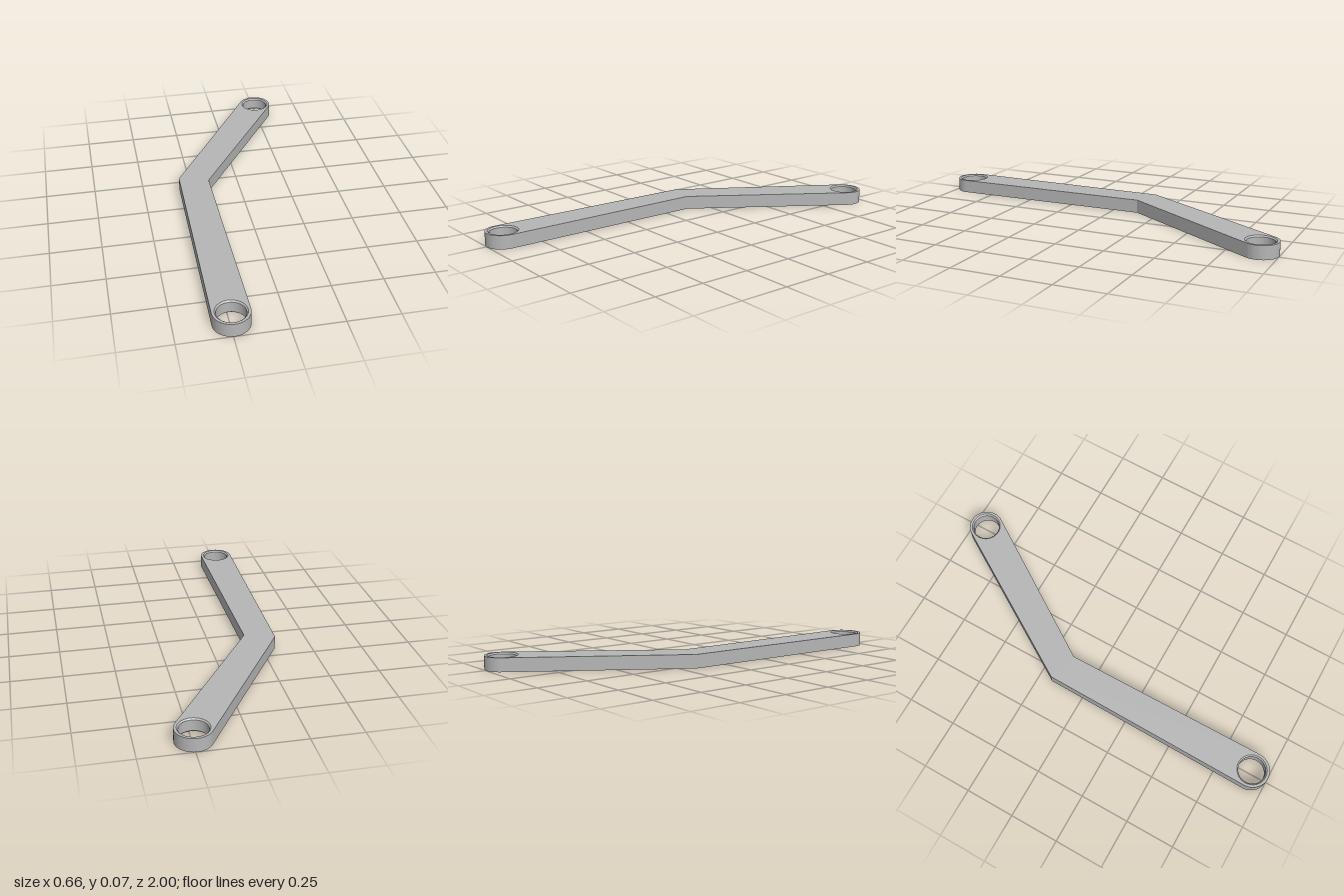
import * as THREE from 'three';
import { toCreasedNormals } from 'three/addons/utils/BufferGeometryUtils.js';

const HEIGHT = 0.068;
const END_R = 0.087;    // rounded arm ends
const RIM_R = 0.074;    // hole radius at the faces
const BORE_R = 0.067;   // hole radius inside the chamfer
const CHAMFER = 0.007;

export function createModel() {
  const group = new THREE.Group();
  group.name = 'bentLinkArm';
  const grey = new THREE.MeshStandardMaterial({ color: 0xb6b6b6 });
  grey.name = 'grey metal';

  // Hole centres in plan (shape y is -z)
  const front = new THREE.Vector2(-0.243, -0.913);
  const back = new THREE.Vector2(0.242, 0.913);
  const tilt = THREE.MathUtils.degToRad(57.5); // direction of the rear arm

  // Bent outline with two rounded ends
  const outline = new THREE.Shape();
  outline.absarc(front.x, front.y, END_R, Math.PI - 0.015, Math.PI * 2 + 0.012, false);
  outline.lineTo(-0.165, 0.135);
  outline.absarc(back.x, back.y, END_R, tilt - Math.PI / 2, tilt + Math.PI / 2, false);
  outline.lineTo(-0.314, 0.18);
  outline.closePath();
  for (const c of [front, back]) {
    outline.holes.push(new THREE.Path().absarc(c.x, c.y, RIM_R, 0, Math.PI * 2, true));
  }

  const geo = new THREE.ExtrudeGeometry(outline, {
    depth: HEIGHT, steps: 3, bevelEnabled: false, curveSegments: 32,
  });

  // Chamfer the holes: shift the middle layers outward and narrow the bore there
  const pos = geo.attributes.position;
  const p = new THREE.Vector2();
  for (let i = 0; i < pos.count; i++) {
    const z = pos.getZ(i);
    if (z < 0.001 || z > HEIGHT - 0.001) continue;
    pos.setZ(i, z < HEIGHT / 2 ? CHAMFER : HEIGHT - CHAMFER);
    p.set(pos.getX(i), pos.getY(i));
    for (const c of [front, back]) {
      if (p.distanceTo(c) > (RIM_R + END_R) / 2) continue;
      p.sub(c).setLength(BORE_R).add(c);
      pos.setXY(i, p.x, p.y);
    }
  }
  geo.rotateX(-Math.PI / 2);

  const arm = new THREE.Mesh(toCreasedNormals(geo, 0.4), grey);
  arm.name = 'arm';
  group.add(arm);
  return group;
}
